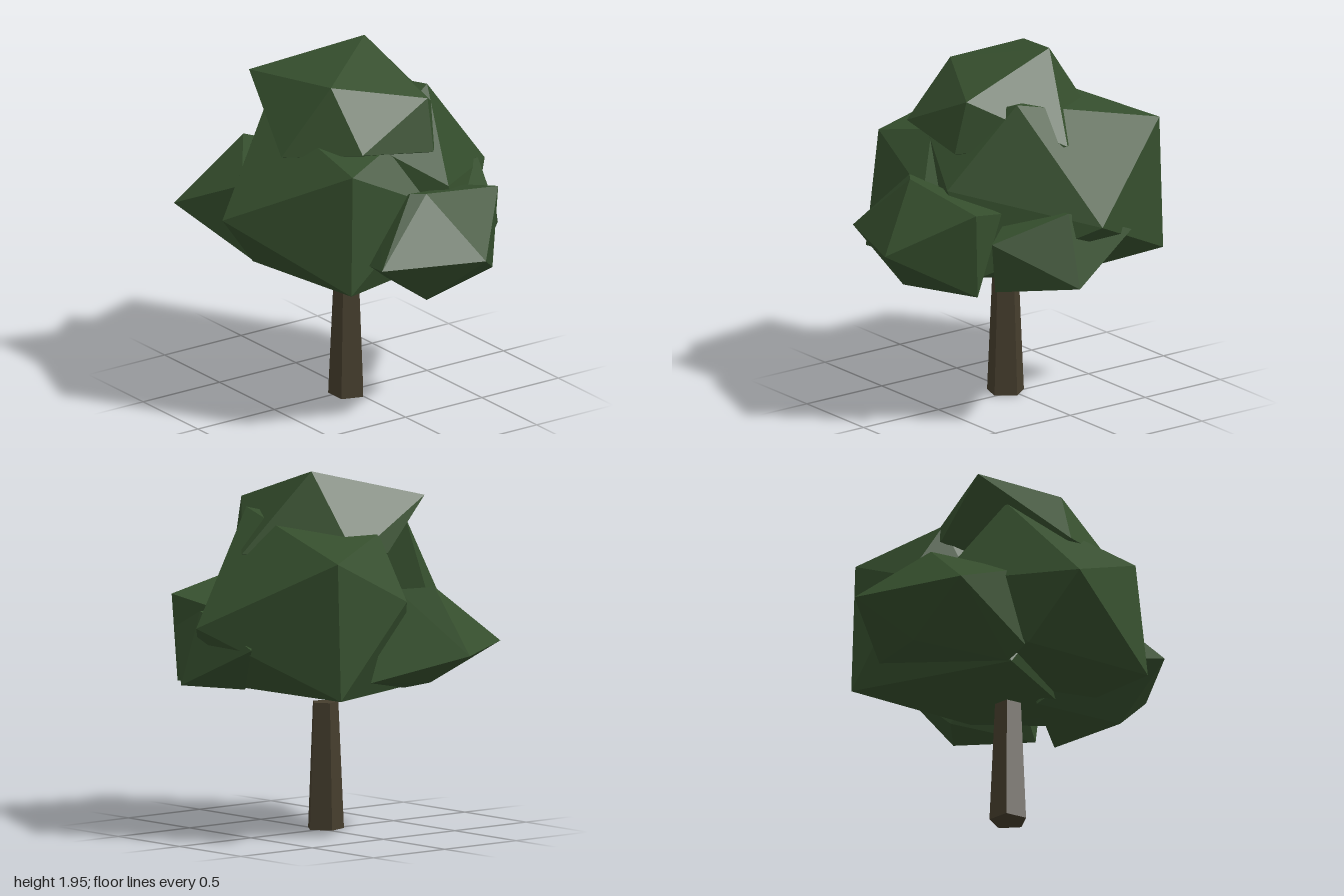
import * as THREE from 'three';
import { ConvexGeometry } from 'three/addons/geometries/ConvexGeometry.js';

// Faceted leaf clump: the hull around a handful of corner points
function clump(name, corners, material) {
  const points = corners.map((c) => new THREE.Vector3(...c));
  const mesh = new THREE.Mesh(new ConvexGeometry(points), material);
  mesh.name = name;
  return mesh;
}

export function createModel() {
  const tree = new THREE.Group();
  tree.name = 'tree';

  const leaf = new THREE.MeshStandardMaterial({ color: 0x354e2d });
  leaf.name = 'leaf green';
  const bark = new THREE.MeshStandardMaterial({ color: 0x453d2d });
  bark.name = 'bark brown';

  // Five-sided tapering trunk, one corner pointing back
  const trunkGeometry = new THREE.CylinderGeometry(0.073, 0.103, 0.68, 5, 1, false, Math.PI).toNonIndexed();
  trunkGeometry.computeVertexNormals();
  const trunk = new THREE.Mesh(trunkGeometry, bark);
  trunk.name = 'trunk';
  trunk.position.set(0.024, 0.34, 0.038);
  tree.add(trunk);

  // Overlapping clumps: outer corners first, then the buried ones
  const canopy = new THREE.Group();
  canopy.name = 'canopy';
  const clumps = {
    topClump: [
      [-0.11, 1.95, -0.17], [-0.37, 1.8, 0.4], [0.21, 1.845, 0.28], [0.45, 1.76, -0.18],
      [0.12, 1.48, 0.54], [0.5, 1.55, 0.28], [0.04, 1.52, -0.53], [-0.42, 1.52, 0.1],
      [-0.42, 1.52, -0.13], [0.52, 1.48, -0.17], [0, 1.3, 0.05],
    ],
    frontClump: [
      [0, 1.15, 0.84], [-0.2, 1.663, 0.41], [0.59, 1.48, 0.41], [0.64, 0.83, 0.455],
      [-0.14, 0.81, 0.54], [-0.57, 1.16, 0.3], [0.64, 1.25, -0.05],
      [0.47, 1.54, 0.1], [0.45, 0.8, -0.1], [-0.25, 0.8, 0],
    ],
    backClump: [
      [0.045, 1.15, -0.845], [0.23, 1.74, -0.335], [-0.64, 1.53, -0.44], [-0.665, 0.795, -0.44],
      [0.1, 0.8, -0.5], [0.6, 1.3, -0.21], [-0.61, 1.28, 0.07], [-0.39, 1.625, 0.06],
      [0.46, 1.57, 0.18], [-0.17, 0.745, 0.41], [0.5, 0.79, -0.1], [0.52, 0.85, -0.4],
    ],
    leftClump: [
      [0.99, 1.0, -0.175], [0.795, 1.0, 0.365], [0.69, 1.33, 0], [0.64, 1.33, 0.07],
      [0.635, 1.245, -0.51], [0.72, 0.74, 0.02], [0.61, 0.78, -0.49], [0.22, 0.75, 0],
      [0.42, 1.2, -0.45], [0.4, 1.2, 0.1], [0.45, 0.95, 0.3],
    ],
    rightClump: [
      [-1, 1.02, 0.176], [-0.645, 1.02, 0.695], [-0.59, 1.34, 0.28], [-0.24, 1.21, 0.54],
      [-0.15, 0.8, 0.52], [-0.19, 0.743, 0.41], [-0.65, 0.84, 0.2], [-0.63, 0.87, -0.2],
      [-0.43, 1.32, 0.15],
    ],
    backLeftClump: [
      [0.185, 0.83, -0.83], [0.17, 1.22, -0.71], [0.56, 1.08, -0.55], [0.5, 0.79, -0.5],
      [-0.25, 1.05, -0.71], [0, 0.8, -0.54], [0.2, 1.2, -0.3],
    ],
  };
  for (const [name, corners] of Object.entries(clumps)) canopy.add(clump(name, corners, leaf));
  tree.add(canopy);

  return tree;
}
